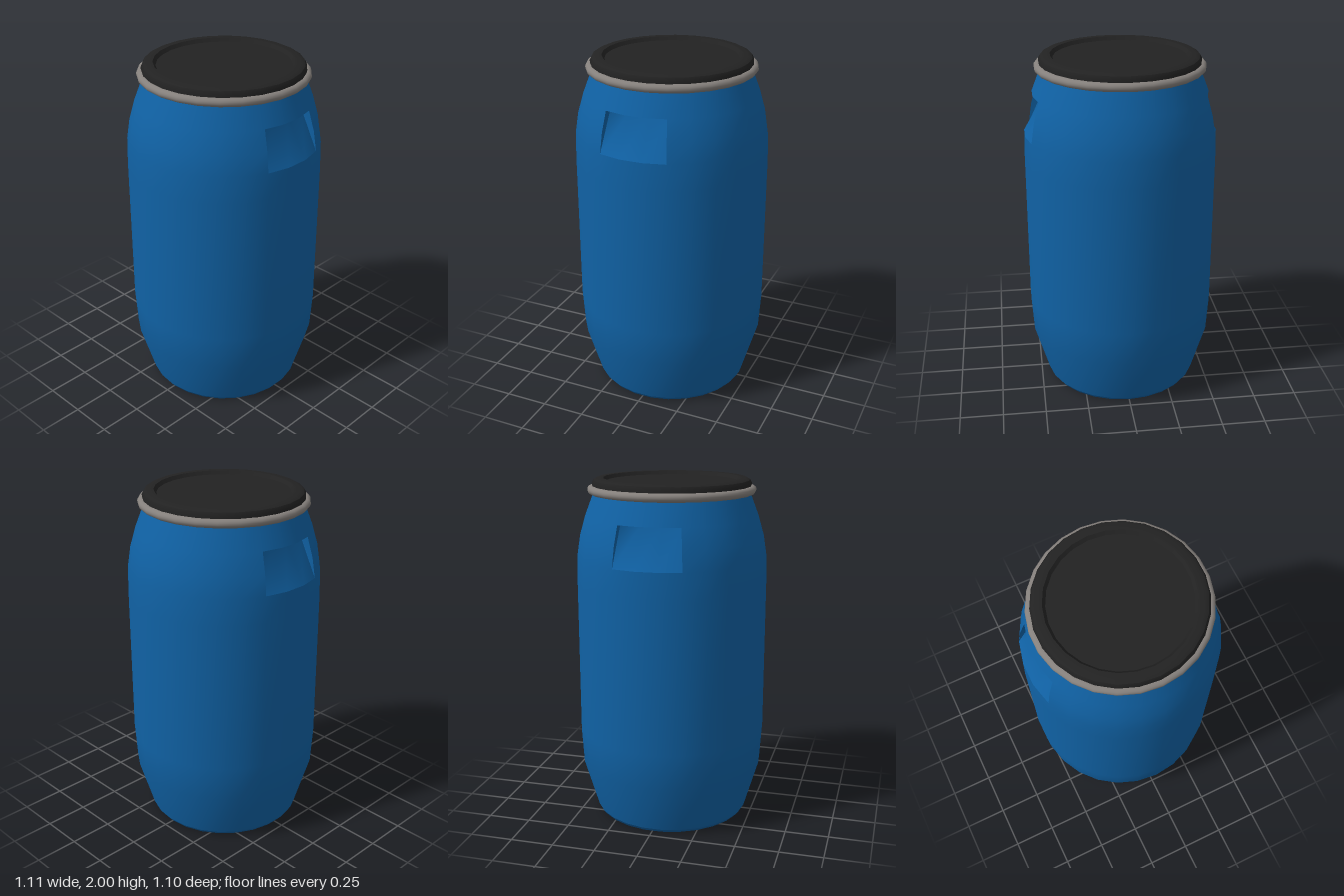
import * as THREE from 'three';

const SIDES = 26;
const POCKET_Z = 0.41; // depth of the grip pocket at its top
// Body outline [radius, height]; rows 4 to 6 frame the grip pockets
const OUTLINE = [
  [0.455, 0.02], [0.54, 0.31], [0.553, 0.52], [0.553, 1.4],
  [0.549, 1.555], [0.531, 1.67], [0.498, 1.785], [0.45, 1.91], [0.44, 1.95],
];

function ringPoint(col, row) {
  const a = ((col + 0.5) / SIDES) * Math.PI * 2;
  const [r, y] = OUTLINE[row];
  return [r * Math.sin(a), y, r * Math.cos(a)];
}

function toGeometry(points, index) {
  const geo = new THREE.BufferGeometry();
  geo.setAttribute('position', new THREE.Float32BufferAttribute(points.flat(), 3));
  geo.setIndex(index);
  geo.computeVertexNormals();
  return geo;
}

// Smooth wall of the barrel, open where the two pockets sit
function shellGeometry() {
  const points = [], index = [];
  const inPocket = (i, j) => (j === 4 || j === 5) && [0, 11, 12, 13, 24, 25].includes(i);
  for (let j = 0; j < OUTLINE.length; j++) {
    for (let i = 0; i < SIDES; i++) {
      points.push(ringPoint(i, j));
      if (j === OUTLINE.length - 1 || inPocket(i, j)) continue;
      const n = (i + 1) % SIDES;
      const a = j * SIDES + i, b = j * SIDES + n, c = b + SIDES, d = a + SIDES;
      index.push(a, b, c, a, c, d);
    }
  }
  return toGeometry(points, index);
}

// Sloping pocket wall running up into the overhanging roof
function pocketGeometry() {
  const points = [], index = [];
  for (let j = 0; j < 3; j++) {
    for (let i = 0; i < 4; i++) {
      const lip = ringPoint(i - 2, 6);
      points.push([ringPoint(i - 2, 4), [lip[0], lip[1], POCKET_Z], lip][j]);
      if (j === 2 || i === 3) continue;
      const a = j * 4 + i;
      index.push(a, a + 1, a + 5, a, a + 5, a + 4);
    }
  }
  return toGeometry(points, index);
}

// Upright cheek at one end of a pocket
function cheekGeometry(col) {
  const lip = ringPoint(col, 6);
  const points = [ringPoint(col, 4), ringPoint(col, 5), lip, [lip[0], lip[1], POCKET_Z]];
  return toGeometry(points, col > 0 ? [0, 1, 3, 1, 2, 3] : [0, 3, 1, 1, 3, 2]);
}

// Turned part sharing the barrel's facets; each profile is smooth within itself
function lathe(profile) {
  return new THREE.LatheGeometry(
    profile.map(([r, y]) => new THREE.Vector2(r, y)), SIDES, Math.PI / 2);
}

export function createModel() {
  const model = new THREE.Group();
  model.name = 'barrel';
  const mat = (name, color, side = THREE.FrontSide) => {
    const m = new THREE.MeshStandardMaterial({ color, side });
    m.name = name;
    return m;
  };
  const blue = mat('blue plastic', 0x1062a5, THREE.DoubleSide);
  const black = mat('black plastic', 0x222222, THREE.DoubleSide);
  const steel = mat('grey steel', 0x85807c);
  const add = (parent, name, geometry, material) => {
    const mesh = new THREE.Mesh(geometry, material);
    mesh.name = name;
    parent.add(mesh);
  };

  // Barrel and its slightly hollow base
  add(model, 'body', shellGeometry(), blue);
  add(model, 'foot', lathe([[0.40, 0], [0.44, 0], [0.455, 0.02]]), blue);
  add(model, 'base', lathe([[0, 0.04], [0.35, 0.035], [0.40, 0]]), blue);

  // Grip pockets, front and back
  for (const [name, turn] of [['frontGrip', 0], ['backGrip', Math.PI]]) {
    const grip = new THREE.Group();
    grip.name = name;
    grip.rotation.y = turn;
    add(grip, 'gripPocket', pocketGeometry(), blue);
    add(grip, 'gripLeftCheek', cheekGeometry(1), blue);
    add(grip, 'gripRightCheek', cheekGeometry(-2), blue);
    model.add(grip);
  }

  // Clamp ring with a rounded section
  const section = [];
  for (let i = 0; i <= 8; i++) {
    const a = -Math.PI / 2 + (i / 8) * Math.PI;
    section.push([0.455 + 0.027 * Math.cos(a), 1.934 + 0.024 * Math.sin(a)]);
  }
  add(model, 'clampRing', lathe([[0.43, 1.91], ...section, [0.43, 1.958]]), steel);

  // Lid: skirt, raised rim, inner step and sunken panel
  add(model, 'lidSkirt', lathe([[0.455, 1.94], [0.455, 1.972], [0.445, 1.99]]), black);
  add(model, 'lidRim', lathe([[0.445, 1.99], [0.425, 2], [0.39, 2]]), black);
  add(model, 'lidStep', lathe([[0.39, 2], [0.375, 1.98]]), black);
  add(model, 'lidPanel', lathe([[0.375, 1.98], [0, 1.98]]), black);
  return model;
}
